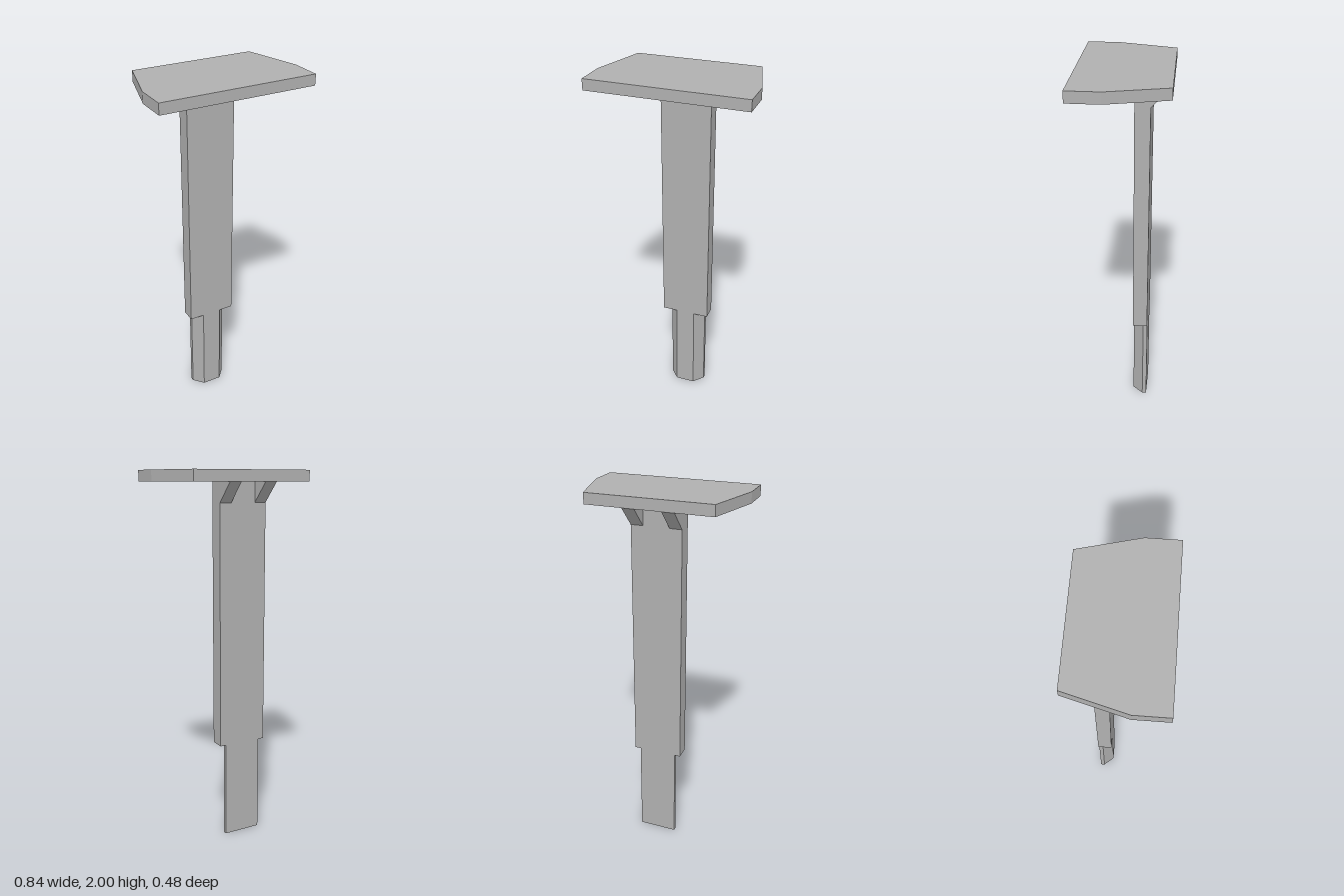
import * as THREE from 'three';

const grey = new THREE.MeshStandardMaterial({ color: 0xb0b0b0 });
grey.name = 'plain grey';

// Extrudes a closed outline of [a, b] points by the given depth.
function prism(points, depth) {
  const shape = new THREE.Shape(points.map(([a, b]) => new THREE.Vector2(a, b)));
  return new THREE.ExtrudeGeometry(shape, { depth, bevelEnabled: false });
}

// Upright slab from a plan outline of [x, z] points.
function slab(plan, bottom, top) {
  return prism(plan.map(([x, z]) => [x, -z]), top - bottom)
    .rotateX(-Math.PI / 2)
    .translate(0, bottom, 0);
}

export function createModel() {
  const group = new THREE.Group();
  group.name = 'postWithTopPlate';
  const add = (name, geometry) => {
    const mesh = new THREE.Mesh(geometry, grey);
    mesh.name = name;
    group.add(mesh);
  };

  const postFront = -0.053, postBack = -0.133, halfWidth = 0.136;
  const plateBottom = 1.942, tangTop = 0.53;

  // Tapered top plate
  add('topPlate', slab([
    [-0.42, 0.242], [0.42, 0.242], [0.42, 0.07],
    [0.336, -0.242], [-0.336, -0.242], [-0.42, 0.07],
  ], plateBottom, 2));

  // Flat post
  add('post', slab([
    [-halfWidth, postFront], [halfWidth, postFront],
    [halfWidth, postBack], [-halfWidth, postBack],
  ], tangTop, plateBottom));

  // Narrow foot with chamfered front edges
  add('foot', slab([
    [-0.054, postFront], [0.054, postFront], [0.104, -0.11],
    [0.104, postBack], [-0.104, postBack], [-0.104, -0.11],
  ], 0, tangTop));

  // Two triangular braces behind the post, flush with its sides
  const braceWidth = 0.066;
  for (const side of [1, -1]) {
    const brace = prism([[postBack, 1.835], [postBack, plateBottom], [-0.24, plateBottom]], braceWidth)
      .translate(0, 0, -braceWidth / 2)
      .rotateY(-Math.PI / 2)
      .translate(side * (halfWidth - braceWidth / 2), 0, 0);
    add(side > 0 ? 'leftBrace' : 'rightBrace', brace);
  }

  return group;
}
